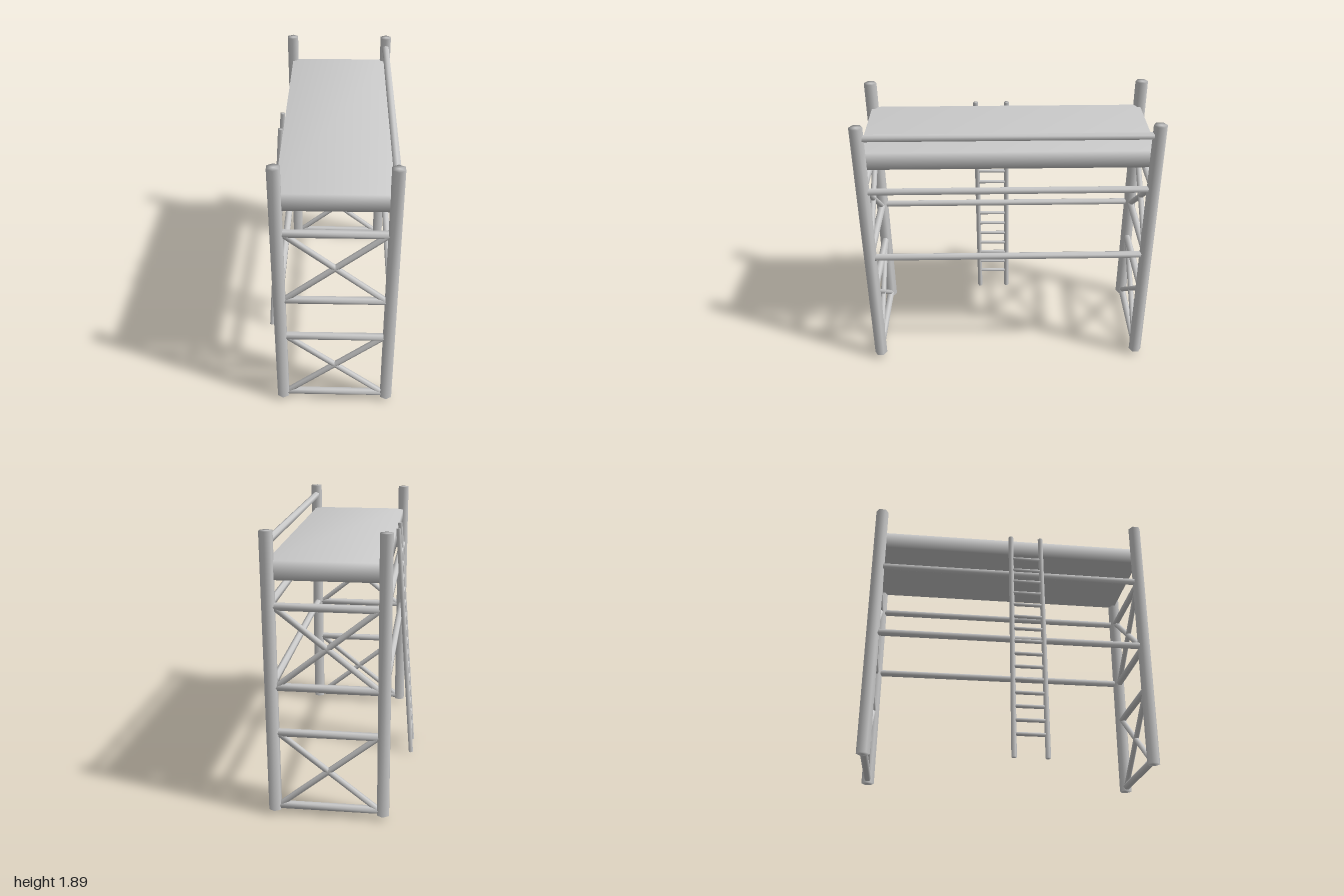
import * as THREE from 'three';
import { mergeVertices } from 'three/addons/utils/BufferGeometryUtils.js';

const material = new THREE.MeshStandardMaterial({ color: 0xcccccc });

// Weld shared corners so shading flows across every edge
function soften(geometry) {
  geometry.deleteAttribute('normal');
  geometry.deleteAttribute('uv');
  const welded = mergeVertices(geometry, 1e-4);
  welded.computeVertexNormals();
  return welded;
}

function addMesh(parent, name, geometry) {
  const mesh = new THREE.Mesh(soften(geometry), material);
  mesh.name = name;
  parent.add(mesh);
  return mesh;
}

// Six-sided bar between two points
function addBar(parent, name, from, to, radius) {
  const a = new THREE.Vector3(...from), b = new THREE.Vector3(...to);
  const bar = addMesh(parent, name, new THREE.CylinderGeometry(radius, radius, a.distanceTo(b), 6));
  bar.position.copy(a).add(b).multiplyScalar(0.5);
  bar.quaternion.setFromUnitVectors(new THREE.Vector3(0, 1, 0), b.sub(a).normalize());
  return bar;
}

function addGroup(parent, name) {
  const group = new THREE.Group();
  group.name = name;
  parent.add(group);
  return group;
}

export function createModel() {
  const model = new THREE.Group();
  model.name = 'scaffold';
  const xRight = -0.297, xLeft = 0.417, zEnd = 0.956;
  const barRadius = 0.026, braceRadius = 0.02;

  // End frames: two posts, four crossbars and two X braces each
  for (const [name, z] of [['frontFrame', zEnd], ['backFrame', -zEnd]]) {
    const frame = addGroup(model, name);
    for (const x of [xRight, xLeft]) addBar(frame, 'post', [x, 0.03, z], [x, 1.89, z], 0.0445);
    const x0 = xRight + 0.03, x1 = xLeft - 0.03;
    for (const [low, high] of [[0.06, 0.585], [0.9, 1.425]]) {
      for (const y of [low, high]) addBar(frame, 'crossbar', [x0, y, z], [x1, y, z], barRadius);
      addBar(frame, 'brace', [x0, low, z], [x1, high, z], braceRadius);
      addBar(frame, 'brace', [x0, high, z], [x1, low, z], braceRadius);
    }
  }

  // Long rails on both sides, plus a guard rail on the left
  const zRail = zEnd - 0.035;
  for (const x of [xRight, xLeft]) {
    for (const y of [0.9, 1.425]) addBar(model, 'sideRail', [x, y, -zRail], [x, y, zRail], barRadius);
  }
  addBar(model, 'guardRail', [xLeft, 1.815, -zRail], [xLeft, 1.815, zRail], barRadius);

  // Deck
  const deck = addMesh(model, 'deck', new THREE.BoxGeometry(xLeft - xRight, 0.12, 2 * zEnd));
  deck.position.set((xLeft + xRight) / 2, 1.65, 0);

  // Leaning ladder on the right
  const ladder = addGroup(model, 'ladder');
  const ladderX = (y) => -0.44 + (0.127 * y) / 1.73;
  for (const z of [0, 0.22]) {
    addBar(ladder, 'ladderRail', [ladderX(0), 0, z], [ladderX(1.73), 1.73, z], 0.018);
  }
  for (let i = 0; i < 15; i++) {
    const y = 0.16 + i * 0.0986;
    addBar(ladder, 'rung', [ladderX(y), y, 0.01], [ladderX(y), y, 0.21], 0.014);
  }
  return model;
}
